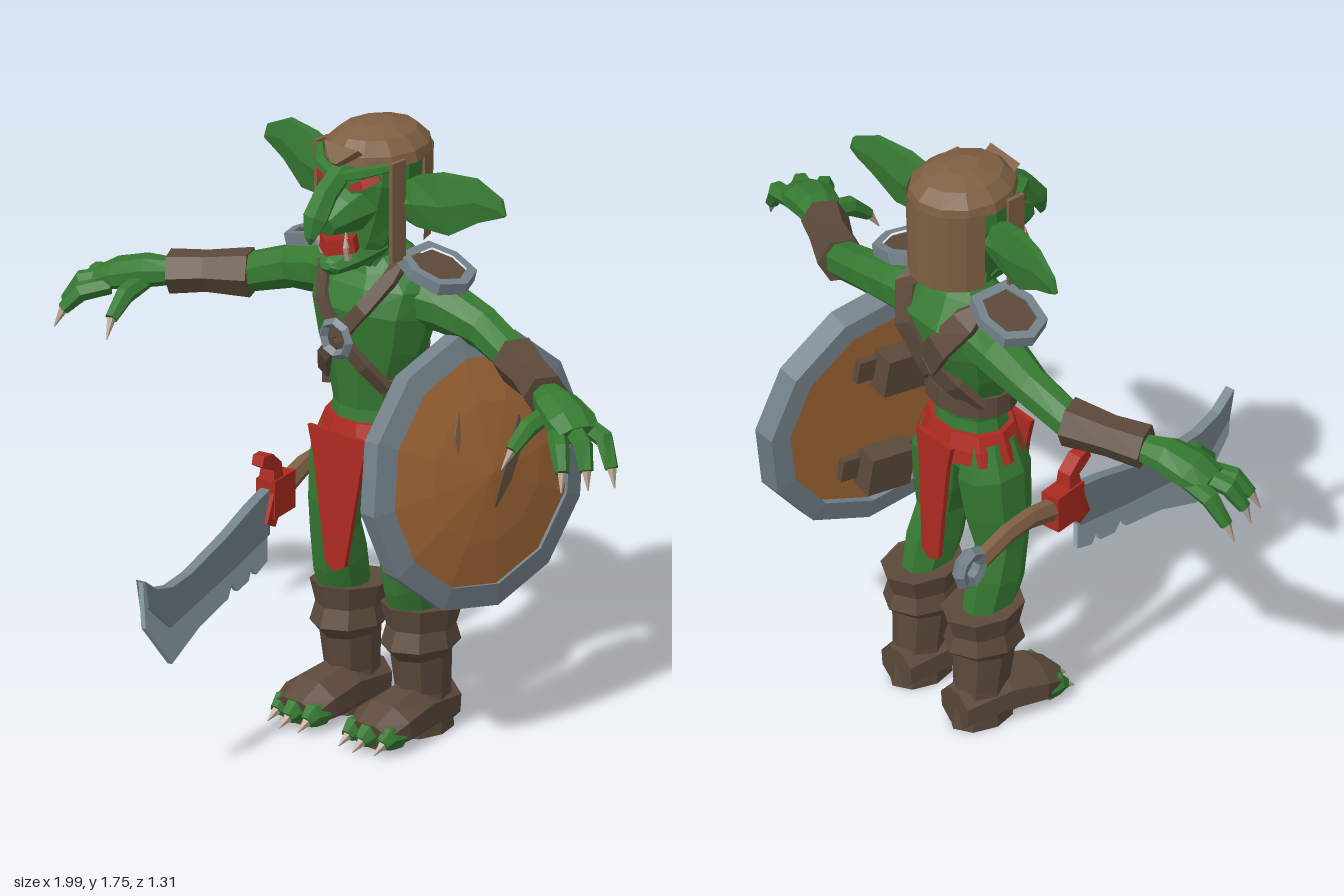
import * as THREE from 'three';

const mat = (name, color, double) => {
  const m = new THREE.MeshStandardMaterial({ color });
  m.name = name;
  if (double) m.side = THREE.DoubleSide;
  return m;
};

export function createModel() {
  const root = new THREE.Group();
  root.name = 'goblinWarrior';
  const skin = mat('skinGreen', 0x367a32), leather = mat('capLeather', 0x7f6044, true);
  const hide = mat('darkHide', 0x5c4a3b), wood = mat('shieldWood', 0xa66a38);
  const red = mat('redCloth', 0xac2a20), steel = mat('steel', 0x74828a);
  const edge = mat('blade edge', 0x98aab3), claw = mat('clawIvory', 0xb9a696);
  const X = new THREE.Vector3(1, 0, 0), Y = new THREE.Vector3(0, 1, 0), Z = new THREE.Vector3(0, 0, 1);

  // Adds a faceted mesh
  const add = (name, geo, material, parent = root) => {
    const g = geo.index ? geo.toNonIndexed() : geo;
    g.computeVertexNormals();
    const m = new THREE.Mesh(g, material);
    m.name = name;
    parent.add(m);
    return m;
  };

  // Closed loft through [x, y, z, ru, rv] rings; ru lies along the side vector
  const loft = (rings, side, n = 8, phase = 0) => {
    const c = rings.map(r => new THREE.Vector3(r[0], r[1], r[2]));
    const loops = rings.map((r, i) => {
      const t = c[Math.min(i + 1, c.length - 1)].clone().sub(c[Math.max(i - 1, 0)]).normalize();
      const u = side.clone().addScaledVector(t, -side.dot(t)).normalize();
      const v = t.clone().cross(u);
      return Array.from({ length: n }, (_, k) => {
        const a = phase + k / n * Math.PI * 2;
        return c[i].clone().addScaledVector(u, Math.cos(a) * r[3]).addScaledVector(v, Math.sin(a) * r[4]);
      });
    });
    const pts = [], last = loops.length - 1;
    for (let k = 0; k < n; k++) {
      const j = (k + 1) % n;
      for (let i = 0; i < last; i++) {
        const a = loops[i], b = loops[i + 1];
        pts.push(a[k], a[j], b[j], a[k], b[j], b[k]);
      }
      pts.push(c[0], loops[0][j], loops[0][k], c[last], loops[last][k], loops[last][j]);
    }
    return new THREE.BufferGeometry().setFromPoints(pts);
  };
  const bar = (rings, side) => loft(rings, side, 4, Math.PI / 4);
  const shape = p => new THREE.Shape(p.map(q => new THREE.Vector2(q[0], q[1])));
  const plate = (s, depth) => new THREE.ExtrudeGeometry(s, { depth, bevelEnabled: false }).translate(0, 0, -depth / 2);
  // Rows of [y, z, rx, rz] become upright rings
  const upright = (rows, n, x = 0) => loft(rows.map(([y, z, rx, rz]) => [x, y, z, rx, rz]), X, n);

  // Torso, neck and skull
  const torso = [[.78, -.2, .11, .08], [.88, -.2, .125, .1], [.95, -.2, .11, .09], [1.02, -.2, .125, .1], [1.12, -.21, .165, .125],
    [1.22, -.22, .19, .15], [1.3, -.24, .195, .14], [1.36, -.23, .14, .1], [1.4, -.22, .07, .07]];
  add('torso', upright(torso, 10), skin);
  add('neck', upright([[1.32, -.22, .085, .08], [1.46, -.2, .07, .075]], 8), skin);
  add('skull', upright([[1.37, -.13, .05, .05], [1.43, -.16, .085, .085], [1.5, -.19, .105, .115], [1.6, -.21, .13, .14],
    [1.68, -.22, .125, .14], [1.71, -.22, .08, .1]], 10), skin);
  add('snout', loft([[0, 1.55, -.15, .09, .1], [0, 1.53, -.07, .065, .07], [0, 1.51, -.01, .035, .04]], Y), skin);
  add('nose', loft([[0, 1.66, -.1, .035, .03], [0, 1.6, -.02, .035, .035], [0, 1.54, .025, .04, .035],
    [0, 1.49, .045, .02, .015], [0, 1.47, .045, .004, .004]], X, 6), skin);
  add('jaw', loft([[0, 1.42, -.18, .05, .085], [0, 1.4, -.09, .04, .065], [0, 1.385, -.03, .025, .04], [0, 1.39, -.015, .01, .02]], Y), skin);
  add('mouth', bar([[-.06, 1.455, -.075, .03, .03], [0, 1.44, -.045, .032, .04], [.06, 1.455, -.075, .03, .03]], Y), red);

  // Leather cap with open face and neck curtain
  add('capDome', upright([[1.67, -.23, .145, .16], [1.7, -.23, .138, .155], [1.735, -.23, .1, .12], [1.755, -.23, .04, .05]], 12), leather);
  add('capPeak', bar([[0, 1.715, -.09, .09, .02], [0, 1.675, -.055, .015, .012]], X), leather);
  const curtain = new THREE.CylinderGeometry(.145, .14, .25, 8, 1, true, Math.PI - 1.35, 2.7).scale(1, 1, 1.12);
  add('capCurtain', curtain, leather).position.set(0, 1.555, -.23);

  // Point just outside the torso at a height and angle
  const onTorso = (y, a, off, s) => {
    const i = Math.max(1, torso.findIndex(r => r[0] >= y)), p = torso[i - 1], q = torso[i];
    const [z, rx, rz] = [1, 2, 3].map(k => THREE.MathUtils.lerp(p[k], q[k], (y - p[0]) / (q[0] - p[0])));
    return [s * Math.cos(a) * (rx + off), y, z + Math.sin(a) * (rz + off)];
  };
  const strap = (name, path, width, s) =>
    add(name, bar(path.map(([y, a]) => [...onTorso(y, a, .008, s), .016, width]), Z), hide);

  for (const s of [1, -1]) {
    const mir = rows => rows.map(([x, ...r]) => [s * x, ...r]);
    const limb = (name, rows, side, m = skin, n = 8) => add(name, loft(mir(rows), side, n, Math.PI / n), m);

    // Face details
    limb('ear', [[.1, 1.56, -.21, .05, .04], [.16, 1.565, -.215, .08, .035], [.25, 1.575, -.23, .1, .03],
      [.35, 1.605, -.25, .07, .02], [.42, 1.595, -.26, .035, .012], [.44, 1.58, -.26, .006, .005]], Y, skin, 6);
    limb('eye', [[.04, 1.61, -.072, .012, .008], [.075, 1.627, -.085, .016, .02], [.11, 1.645, -.117, .012, .008]], Z, red, 4);
    limb('brow', [[.01, 1.64, -.06, .02, .015], [.07, 1.66, -.075, .022, .018], [.13, 1.675, -.14, .012, .012]], Z, skin, 5);
    limb('tusk', [[.045, 1.41, -.06, .012, .012], [.05, 1.45, -.045, .01, .01], [.045, 1.49, -.05, .002, .002]], X, claw, 5);
    add('capSideFlap', new THREE.BoxGeometry(.012, .29, .055), leather).position.set(s * .138, 1.545, -.157);

    // Arm, bracer and clawed hand
    limb('arm', [[.1, 1.27, -.25, .08, .09], [.22, 1.255, -.27, .075, .07], [.35, 1.225, -.275, .062, .055],
      [.48, 1.18, -.255, .056, .052], [.6, 1.165, -.2, .045, .045], [.7, 1.15, -.15, .04, .04]], Y);
    limb('bracer', [[.485, 1.175, -.255, .07, .07], [.6, 1.165, -.2, .058, .06], [.69, 1.155, -.15, .062, .066]], Y, hide, 6);
    limb('palm', [[.67, 1.155, -.165, .035, .04], [.75, 1.15, -.125, .045, .065], [.83, 1.13, -.095, .042, .075],
      [.88, 1.11, -.075, .03, .065]], Y);
    const digits = [[[.84, 1.12, -.13], [.93, 1.1, -.12], [.975, 1.03, -.1], [.995, .98, -.09]],
      [[.85, 1.12, -.08], [.92, 1.1, -.045], [.955, 1.04, -.02], [.97, .99, -.01]],
      [[.82, 1.11, -.05], [.88, 1.09, .005], [.915, 1.04, .035], [.93, .99, .055]],
      [[.74, 1.13, -.1], [.74, 1.11, -.02], [.735, 1.06, .04], [.725, 1.01, .07]]];
    for (const [a, b, c, d] of digits) {
      limb('finger', [[...a, .026, .028], [...b, .028, .028], [...c, .018, .02]], Y, skin, 6);
      limb('fingerClaw', [[...c, .014, .014], [...d, .002, .002]], X, claw, 5);
    }

    // Leg, boot and toes
    limb('leg', [[.085, .88, -.2, .06, .085], [.1, .78, -.2, .085, .11], [.112, .65, -.195, .077, .1],
      [.125, .55, -.195, .062, .082], [.13, .45, -.22, .065, .09], [.13, .34, -.25, .055, .08]], X);
    add('boot', upright([[0, -.27, .07, .1], [.12, -.27, .068, .085], [.23, -.262, .078, .092], [.26, -.26, .1, .122],
      [.31, -.262, .088, .105], [.375, -.265, .103, .125], [.36, -.265, .08, .1]], 8, s * .13), hide);
    limb('bootFoot', [[.125, .062, -.36, .065, .065], [.13, .073, -.22, .078, .085], [.135, .062, -.11, .066, .1],
      [.135, .042, -.045, .044, .085]], Y, hide);
    for (const [x, z] of [[.075, -.01], [.135, 0], [.195, -.02]]) {
      limb('toe', [[x, .045, z - .08, .034, .032], [x, .048, z - .035, .036, .03], [x, .035, z - .012, .02, .02]], Y, skin, 6);
      limb('toeClaw', [[x, .038, z - .018, .016, .016], [x, .015, z + .022, .002, .002]], X, claw, 5);
    }

    // Crossed harness
    strap('chestStrapUpper', [[1.38, .2], [1.34, .8], [1.26, 1.2], [1.17, 1.57]], .03, s);
    strap('chestStrapLower', [[1.16, 1.53], [1.09, 1.1], [1.02, .55]], .028, s);
    strap('backStrapUpper', [[1.38, -.2], [1.33, -.8], [1.25, -1.2], [1.14, -1.6]], .055, s);
    strap('backStrapLower', [[1.16, -1.6], [1.09, -1.1], [1.02, -.6]], .05, s);
    const girth = [.55, .2, -.2, -.6, -1, -1.57].map(a => [...onTorso(1.015, a, .008, s), .045, .016]);
    add('backBand', bar(girth, Y), hide);

    // Shoulder pad with a metal rim
    const pts = [[-.1, .06], [-.02, .09], [.07, .075], [.105, 0], [.07, -.075], [-.02, -.09], [-.1, -.06]].map(([x, y]) => [s * x, y]);
    const inner = pts.map(([x, y]) => [x * .72, y * .72]);
    const pad = new THREE.Group();
    pad.name = 'shoulderPad';
    const rim = shape(pts);
    rim.holes.push(shape(inner));
    add('padRim', plate(rim, .035).rotateX(-Math.PI / 2), steel, pad);
    add('padLeather', plate(shape(inner), .022).rotateX(-Math.PI / 2), hide, pad);
    pad.position.set(s * .215, 1.37, -.24);
    pad.rotation.z = -s * .28;
    root.add(pad);
  }
  add('harnessRing', new THREE.TorusGeometry(.047, .015, 4, 8), steel).position.set(0, 1.165, -.06);

  // Loincloth
  add('clothBelt', upright([[.83, -.2, .17, .128], [.87, -.2, .155, .122], [.915, -.2, .135, .108]], 10), red);
  for (const [name, w, z, tilt] of [['frontFlap', .11, -.073, -.03], ['backFlap', .075, -.327, .03]]) {
    const flap = add(name, plate(shape([[-w, 0], [w, 0], [w * .8, -.08], [.035, -.38], [0, -.4], [-.035, -.38], [-w * .8, -.08]]), .014), red);
    flap.position.set(0, .885, z);
    flap.rotation.x = tilt;
  }

  // Round shield, built facing +y then turned outwards
  const shield = new THREE.Group();
  shield.name = 'shield';
  const lathe = p => new THREE.LatheGeometry(p.map(q => new THREE.Vector2(...q)), 12);
  add('shieldRim', lathe([[.325, -.04], [.385, -.035], [.395, .03], [.33, .045], [.325, -.04]]), steel, shield);
  add('shieldBoard', lathe([[0, -.02], [.33, -.02], [.33, .035], [.2, .06], [0, .085]]), wood, shield);
  add('deepGash', bar([[.1, .073, 0, .006, .004], [.03, .08, -.05, .006, .025], [-.04, .078, -.1, .006, .025], [-.12, .065, -.138, .006, .004]], Y), hide, shield);
  add('smallGash', bar([[-.09, .069, .1, .006, .003], [-.14, .066, .09, .006, .014], [-.2, .06, .07, .006, .003]], Y), leather, shield);
  for (const x of [-.155, .185]) {
    add('gripBlock', new THREE.BoxGeometry(.12, .07, .14), hide, shield).position.set(x, -.065, 0);
    add('gripMount', new THREE.BoxGeometry(.07, .025, .25), hide, shield).position.set(x, -.03, 0);
  }
  shield.position.set(.315, .81, -.262);
  shield.quaternion.setFromUnitVectors(Y, new THREE.Vector3(1, .1, .09).normalize());
  root.add(shield);

  // Notched sword, pointing forwards on the right hip
  const sword = new THREE.Group();
  sword.name = 'sword';
  const bladePart = (name, p, depth, m) => add(name, plate(shape(p), depth).rotateY(-Math.PI / 2), m, sword);
  bladePart('bladeSpine', [[0, .69], [.09, .67], [.22, .63], [.42, .585], [.52, .58], [.6, .6], [.665, .645],
    [.645, .56], [.53, .465], [.2, .52], [0, .56]], .03, steel);
  bladePart('bladeEdge', [[0, .56], [.2, .52], [.53, .465], [.645, .56], [.665, .64], [.65, .5], [.51, .35], [.36, .41],
    [.21, .44], [.19, .475], [.16, .445], [.1, .455], [.085, .49], [.06, .46], [0, .48]], .014, edge);
  add('guard', bar([[0, .59, .01, .035, .035], [0, .67, -.03, .04, .045], [0, .75, -.03, .03, .03],
    [0, .775, .005, .03, .03], [0, .785, .04, .025, .02]], X), red, sword);
  add('guardCollar', new THREE.BoxGeometry(.06, .11, .11), red, sword).position.set(0, .66, -.055);
  add('handle', loft([[0, .66, -.08, .03, .035], [0, .69, -.2, .026, .03], [0, .69, -.3, .026, .03], [0, .665, -.41, .026, .03]], X, 6), leather, sword);
  add('pommelRing', new THREE.TorusGeometry(.045, .022, 5, 8).rotateY(Math.PI / 2), steel, sword).position.set(0, .665, -.455);
  sword.position.set(-.205, 0, 0);
  sword.rotation.y = .2;
  root.add(sword);

  return root;
}
